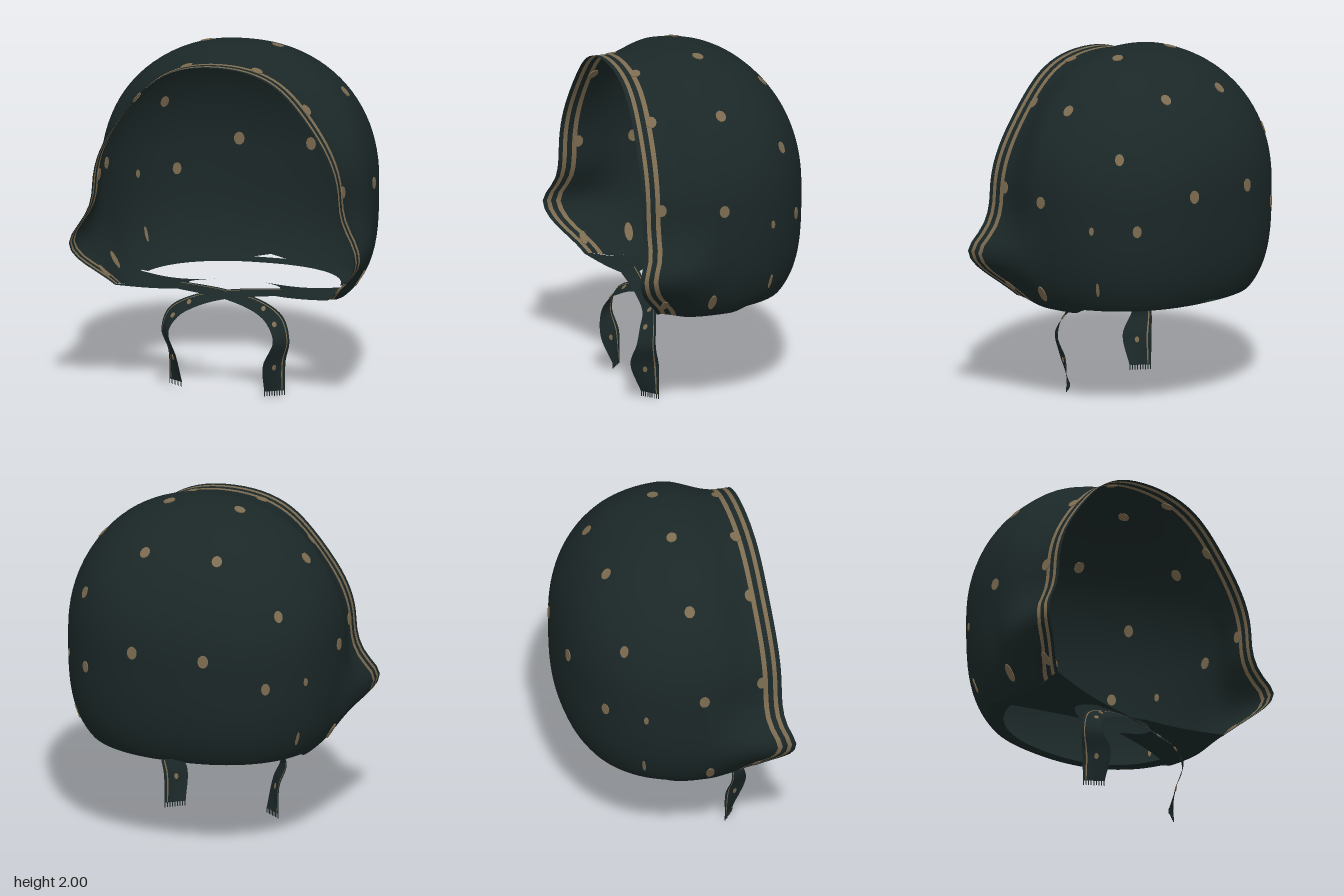
import * as THREE from 'three';
import { mergeVertices } from 'three/addons/utils/BufferGeometryUtils.js';

const fabric = new THREE.MeshStandardMaterial({ color: 0x1b2727, side: THREE.DoubleSide });
fabric.name = 'dark green fabric';
const tan = new THREE.MeshStandardMaterial({ color: 0x7c6b50, side: THREE.DoubleSide });
tan.name = 'tan print';

const smooth = THREE.MathUtils.smoothstep;
const V = (x, y, z) => new THREE.Vector3(x, y, z);
const MID_Y = 1.2, MID_Z = 0.13, RX = 0.8, RTOP = 0.8, RLOW = 0.77, RBACK = 0.725;
// Roundness of the plan outline, the crown and the lower half
const PLAN = 2.3, CROWN = 2.12, LOWER = 3.4;
const round = (t, power) => Math.max(0, 1 - t ** power) ** (1 / power);

// Surface through rows of points; the rows listed in tanBands get the print colour
function loft(name, rows, tanBands = []) {
  const n = rows[0].length, index = [];
  let geo = new THREE.BufferGeometry().setFromPoints(rows.flat());
  for (let i = 0; i < rows.length - 1; i++) {
    geo.addGroup(index.length, (n - 1) * 6, tanBands.includes(i) ? 1 : 0);
    for (let j = 0; j < n - 1; j++) {
      const a = i * n + j, b = a + n;
      index.push(a, a + 1, b, b, a + 1, b + 1);
    }
  }
  geo.setIndex(index);
  geo = mergeVertices(geo, 1e-5);
  geo.computeVertexNormals();
  const mesh = new THREE.Mesh(geo, [fabric, tan]);
  mesh.name = name;
  return mesh;
}

// Front part narrows towards the face opening and flares at the cheeks
const shrink = z => 1 - 0.088 * smooth(z, MID_Z, 0.43);
const flare = (y, z) => 0.137 * Math.exp(-(((y - 0.85) / 0.17) ** 2)) * smooth(z, 0.02, 0.46);
const rimZ = y => 0.515 + 0.025 * (1 - smooth(y, 1.2, 1.93))
  + 0.055 * Math.exp(-(((y - 0.86) / 0.1) ** 2)) - 0.13 * (1 - smooth(y, 0.56, 0.78));
const depth = z => Math.min(1, Math.max(0, (MID_Z - z) / RBACK));
// Lower edge, dipping under the cheeks
const hem = z => 0.78 + 0.045 * smooth(z, -0.13, -0.03) * (1 - smooth(z, 0.22, 0.41));

// Half width of the bonnet at height y and depth z
function halfWidth(y, z) {
  const s = shrink(z), Z = depth(z), upper = y > MID_Y;
  const Y = upper ? (y - MID_Y) / (RTOP * s) : (MID_Y - y) / RLOW;
  const r = round(Y, upper ? CROWN : LOWER);
  const x = Math.max(0, r ** PLAN - Z ** PLAN) ** (1 / PLAN);
  const pinch = upper ? 0.1 * Math.sin(Math.PI * Math.min(1, Y * Y)) * smooth(z, 0.15, 0.5) : 0;
  return RX * s * x * (1 - pinch) + flare(y, z);
}

// One arch of the shell, from right hem over the crown to left hem
function arch(zAt) {
  const LOW = 16, UP = 44, row = [];
  const low = (w, side) => {
    const end = zAt(0.6), yMax = Math.min(hem(end), round(depth(end), LOWER));
    const y = MID_Y - RLOW * yMax * Math.sin(w * Math.PI / 2), z = zAt(y);
    row.push(V(side * halfWidth(y, z), y, z));
  };
  for (let i = 0; i < LOW; i++) low(1 - i / LOW, -1);
  for (let i = 0; i <= UP; i++) {
    const a = Math.PI * (1 - i / UP);
    const z = zAt(MID_Y + RTOP * Math.sin(a) * 0.912);
    const y = MID_Y + RTOP * round(depth(z), CROWN) * shrink(z) * Math.sin(a);
    row.push(V(Math.sign(i - UP / 2) * halfWidth(y, z), y, z));
  }
  for (let i = 1; i <= LOW; i++) low(i / LOW, 1);
  return row;
}

function shell() {
  const rows = [0, 0.025, 0.05, 0.08, 0.108].map(d => arch(y => rimZ(y) - d));
  for (let i = 1; i <= 10; i++)
    rows.push(arch(y => THREE.MathUtils.lerp(rimZ(y) - 0.108, MID_Z, i / 10)));
  for (let i = 1; i <= 36; i++)
    rows.push(arch(() => MID_Z - RBACK * Math.sin(i / 36 * Math.PI / 2)));
  return loft('bonnetShell', rows, [1, 3]);
}

// Hem turned in around the back of the neck
function neckHem() {
  const r = round(0.78, LOWER), y = MID_Y - RLOW * 0.78, rows = [];
  for (const w of [0, 0.5, 1]) {
    rows.push(Array.from({ length: 41 }, (_, i) => {
      const a = THREE.MathUtils.lerp(0.2, Math.PI - 0.2, i / 40), c = Math.cos(a);
      const x = RX * r * Math.sign(c) * Math.abs(c) ** (2 / PLAN);
      const z = MID_Z - RBACK * r * Math.sin(a) ** (2 / PLAN);
      return V(x * (1 - 0.14 * w), y - 0.012 * Math.sin(w * Math.PI / 2), z + 0.08 * w * Math.sin(a));
    }));
  }
  return loft('neckHem', rows);
}

// Printed spot as a thin plate facing along a normal, showing on both sides
function plate(pos, normal, rx, ry) {
  const mesh = new THREE.Mesh(new THREE.CylinderGeometry(1, 1, 0.009, 12).rotateX(Math.PI / 2), tan);
  mesh.position.copy(pos);
  mesh.lookAt(pos.clone().add(normal));
  mesh.scale.set(rx, ry, 1);
  mesh.name = 'printedSpot';
  return mesh;
}

function spot(y, z, side, rx = 0.03, ry = 0.035) {
  const e = 0.001;
  const n = V(1, -(halfWidth(y + e, z) - halfWidth(y - e, z)) / (2 * e),
    -(halfWidth(y, z + e) - halfWidth(y, z - e)) / (2 * e)).normalize();
  n.x *= side;
  return plate(V(side * halfWidth(y, z), y, z), n, rx, ry);
}

// Flap folding under the chin to a notched tip
function chinFlap(side) {
  const rows = [], N = 14;
  for (let i = 0; i <= N; i++) {
    const s = i / N, z = THREE.MathUtils.lerp(-0.06, rimZ(0.6), s), row = [];
    const y = MID_Y - RLOW * hem(z), edge = V(halfWidth(y, z), y, z);
    const tip = V(0.15 - 0.02 * s + 0.13 * Math.sin(Math.PI * s), 0.588, 0.06 + 0.23 * s);
    for (let j = 0; j <= 12; j++) {
      const w = j / 12, p = edge.clone().lerp(tip, w);
      p.y -= 0.012 * Math.sin(Math.PI * w);
      p.z += 0.03 * (1 - s) * Math.sin(Math.PI * w);
      row.push(V(side * p.x, p.y, p.z));
    }
    rows.push(row);
  }
  return loft('chinFlap', rows);
}

// Ribbon tie crossing under the chin, with printed spots and a fringed end
function tie(side, lift) {
  const mid = new THREE.CatmullRomCurve3([V(-0.3, 0.59, 0.27), V(0, 0.56, 0.3), V(0.2, 0.505, 0.32),
    V(0.305, 0.44, 0.36), V(0.347, 0.33, 0.385), V(0.305, 0.2, 0.38), V(0.295, 0.03, 0.345)]);
  const half = new THREE.CatmullRomCurve3([V(0, 0.01, -0.05), V(0, 0.02, -0.035), V(0.015, 0.028, -0.032),
    V(0.037, 0.018, -0.035), V(0.035, 0, -0.045), V(0.045, 0, -0.07), V(0.05, 0, -0.037)]);
  const at = (t, w) => {
    const p = mid.getPoint(t).addScaledVector(half.getPoint(t), w);
    return V(side * p.x, p.y + lift * t, p.z);
  };
  const rows = [-1, -0.3, 0.3, 0.66, 0.77, 1].map(w =>
    Array.from({ length: 49 }, (_, i) => at(i / 48, w)));
  const group = new THREE.Group();
  group.name = 'chinTie';
  group.add(loft('ribbon', rows, [3]));
  for (const [t, w] of [[0.36, 0.1], [0.52, -0.3], [0.86, 0]]) {
    const along = at(t + 0.01, w).sub(at(t - 0.01, w));
    const across = at(t, w + 0.1).sub(at(t, w - 0.1));
    group.add(plate(at(t, w), along.cross(across).normalize(), 0.013, 0.017));
  }
  for (let i = 0; i < 9; i++) {
    const thread = new THREE.Mesh(new THREE.BoxGeometry(0.004, 0.03, 0.004), fabric);
    thread.position.copy(at(1, -0.95 + i * 0.237));
    thread.position.y -= 0.013 - 0.002 * (i % 2);
    thread.name = 'fringeThread';
    group.add(thread);
  }
  return group;
}

export function createModel() {
  const model = new THREE.Group();
  model.name = 'bonnet';
  model.add(shell(), neckHem());
  // Spots as [height, depth, width radius, height radius], mirrored
  const spots = [[1.972, 0.03], [1.73, 0.03], [1.22, 0.07], [1.79, -0.355], [1.5, -0.345, 0.026],
    [1.26, -0.578, 0.031, 0.038], [1.09, -0.445, 0.026], [1.09, -0.25, 0.014, 0.024],
    [0.67, 0.12, 0.024, 0.055], [0.74, -0.25, 0.01, 0.045],
    [1.905, 0.405], [1.7, 0.41], [1.24, 0.425], [0.67, 0.4, 0.022, 0.045]];
  for (const side of [-1, 1]) {
    for (const [y, z, rx, ry] of spots) model.add(spot(y, z, side, rx, ry));
    model.add(chinFlap(side));
    model.add(tie(side, side < 0 ? 0.02 : 0));
  }
  return model;
}
